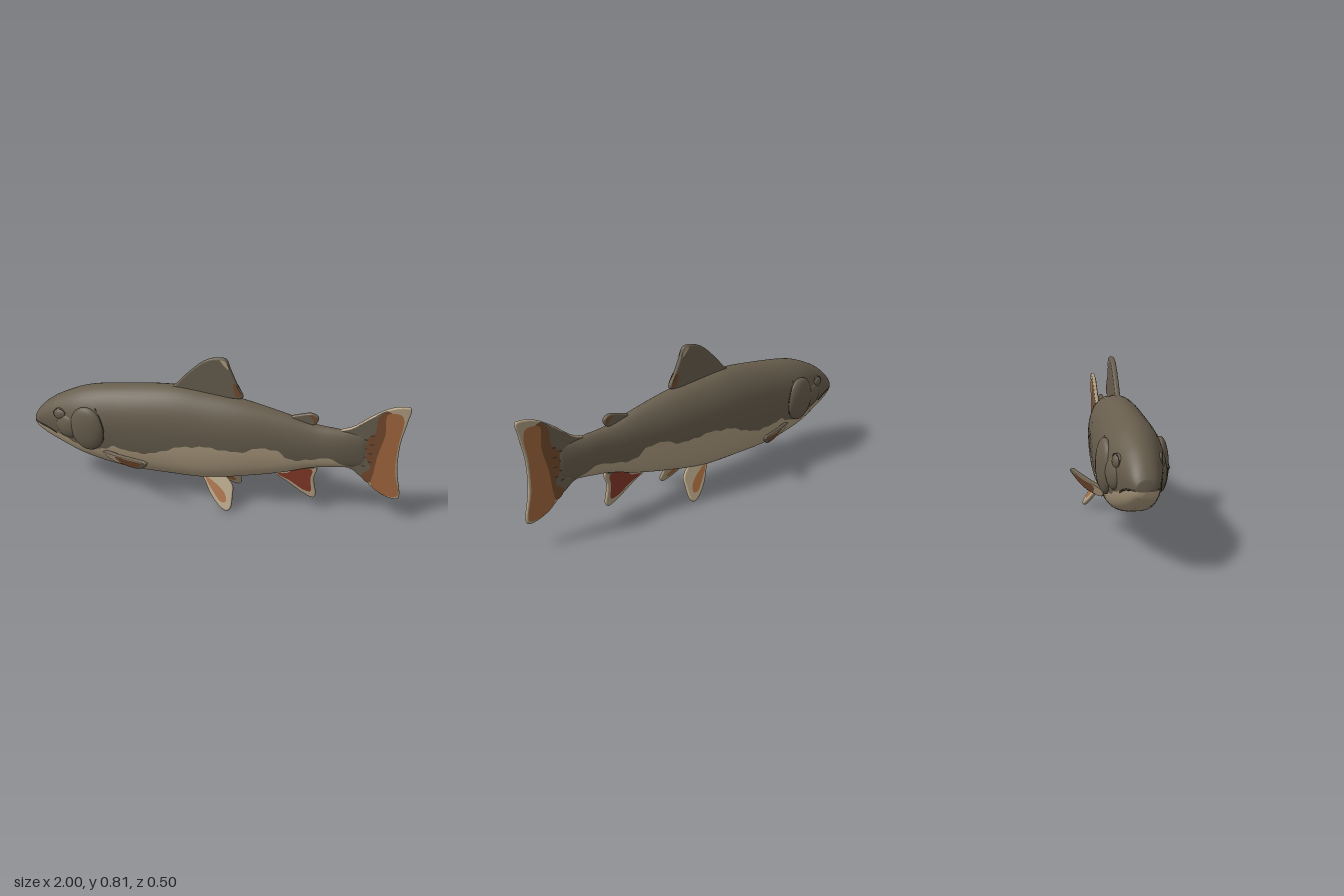
import * as THREE from 'three';

const mat = (name, color) => new THREE.MeshStandardMaterial({ name, color, side: THREE.DoubleSide });

// Body stations: x, top, bottom, half width
const STATIONS = [
  [-1, 0.385, 0.325, 0.035], [-0.975, 0.42, 0.305, 0.056], [-0.93, 0.463, 0.278, 0.073],
  [-0.85, 0.515, 0.242, 0.095], [-0.69, 0.58, 0.185, 0.132], [-0.47, 0.615, 0.142, 0.141],
  [-0.2, 0.638, 0.132, 0.138], [0, 0.62, 0.135, 0.128], [0.17, 0.597, 0.165, 0.112],
  [0.38, 0.55, 0.212, 0.08], [0.54, 0.508, 0.262, 0.056], [0.66, 0.496, 0.282, 0.045],
  [0.74, 0.49, 0.29, 0.03], [0.82, 0.47, 0.31, 0.008],
];
// Edge between dark back and pale belly: x, y
const BELLY_LINE = [
  [-1, 0.352], [-0.93, 0.345], [-0.87, 0.325], [-0.79, 0.3], [-0.69, 0.275], [-0.55, 0.28], [-0.5, 0.305],
  [-0.42, 0.285], [-0.29, 0.29], [-0.15, 0.345], [0, 0.365], [0.17, 0.35], [0.275, 0.38],
  [0.37, 0.37], [0.42, 0.325], [0.56, 0.33], [0.61, 0.35], [0.72, 0.3], [0.82, 0.315],
];

// Smooth interpolation of column c of a table at x
function sample(table, c, x) {
  const last = table.length - 1;
  let i = 0;
  while (i < last - 1 && table[i + 1][0] < x) i++;
  const slope = (k) => {
    const a = table[Math.max(k - 1, 0)], b = table[Math.min(k + 1, last)];
    return (b[c] - a[c]) / (b[0] - a[0]);
  };
  const p = table[i], q = table[i + 1], d = q[0] - p[0];
  const t = THREE.MathUtils.clamp((x - p[0]) / d, 0, 1), t2 = t * t, t3 = t2 * t;
  return (2 * t3 - 3 * t2 + 1) * p[c] + (t3 - 2 * t2 + t) * d * slope(i)
    + (3 * t2 - 2 * t3) * q[c] + (t3 - t2) * d * slope(i + 1);
}

function section(x) {
  const top = sample(STATIONS, 1, x), bottom = sample(STATIONS, 2, x);
  return { top, bottom, w: sample(STATIONS, 3, x), mid: bottom + 0.56 * (top - bottom) };
}

// Point of a cross-section at angle t: lean back, fuller belly
function ringPoint(s, t) {
  const sn = Math.sin(t), cs = Math.cos(t);
  const y = s.mid + sn * (sn > 0 ? s.top - s.mid : s.mid - s.bottom);
  return [y, s.w * Math.sign(cs) * Math.pow(Math.abs(cs), sn > 0 ? 1.05 : 0.6)];
}

const angleAt = (s, y) =>
  Math.asin(THREE.MathUtils.clamp((y - s.mid) / (y > s.mid ? s.top - s.mid : s.mid - s.bottom), -0.97, 0.97));

function surfacePoint(x, y, lift = 0) {
  const s = section(x);
  return new THREE.Vector3(x, y, ringPoint(s, angleAt(s, y))[1] + lift);
}

// Body skin: half of every ring follows the back, the other half the belly
function bodyGeometry() {
  const rows = 130, half = 26, n = half * 2, pos = [], back = [], belly = [];
  for (let i = 0; i <= rows; i++) {
    const x = -1 + 1.82 * Math.pow(i / rows, 1.25), s = section(x);
    const line = sample(BELLY_LINE, 1, x) + 0.006 * Math.sin(x * 70) * Math.sin(x * 23);
    const tb = angleAt(s, line), closed = i === 0 || i === rows;
    for (let k = 0; k < n; k++) {
      const t = k < half ? tb + (Math.PI - 2 * tb) * (k / half)
        : Math.PI - tb + (Math.PI + 2 * tb) * ((k - half) / half);
      const [y, z] = closed ? [line, 0] : ringPoint(s, t);
      pos.push(x, y, z);
      if (i === rows) continue;
      const a = i * n + k, b = i * n + (k + 1) % n;
      (k < half ? back : belly).push(a, a + n, b, b, a + n, b + n);
    }
  }
  const g = new THREE.BufferGeometry();
  g.setAttribute('position', new THREE.Float32BufferAttribute(pos, 3));
  // Order corners so the skin faces outward
  const flip = (list) => { for (let j = 0; j < list.length; j += 3) [list[j], list[j + 1]] = [list[j + 1], list[j]]; };
  const p = new THREE.Vector3(), q = new THREE.Vector3(), r = new THREE.Vector3();
  const mid = 60 * half * 6 + 12 * 6;
  [p, q, r].forEach((v, j) => v.fromArray(pos, back[mid + j] * 3));
  if (q.sub(p).cross(r.sub(p)).y < 0) { flip(back); flip(belly); }
  g.setIndex([...back, ...belly]);
  g.addGroup(0, back.length, 0);
  g.addGroup(back.length, belly.length, 1);
  g.computeVertexNormals();
  return g;
}

// Closed smooth outline through a few points
function outline(points) {
  const curve = new THREE.CatmullRomCurve3(points.map(([x, y]) => new THREE.Vector3(x, y, 0)), true, 'centripetal');
  return new THREE.Shape(curve.getPoints(points.length * 6).slice(0, -1).map((v) => new THREE.Vector2(v.x, v.y)));
}

// Fin plate with painted patches on its faces; each patch is [name, material, points]
function makeFin(name, material, points, thick, patches = [], faces = [1, -1]) {
  const group = new THREE.Group();
  group.name = name;
  const bevel = thick * 0.35;
  const g = new THREE.ExtrudeGeometry(outline(points), {
    depth: thick - 2 * bevel, bevelThickness: bevel, bevelSize: bevel, bevelOffset: -bevel, bevelSegments: 3,
  }).translate(0, 0, bevel - thick / 2);
  const plate = new THREE.Mesh(g, material);
  plate.name = name + 'Plate';
  group.add(plate);
  patches.forEach(([patchName, patchMat, pts], i) => faces.forEach((f) => {
    const patch = new THREE.Mesh(new THREE.ShapeGeometry(outline(pts)), patchMat);
    patch.name = patchName;
    patch.position.z = f * (thick / 2 + 0.001 + i * 0.0007);
    group.add(patch);
  }));
  return group;
}

export function createModel() {
  const dark = mat('olive back', 0x675d4d), pale = mat('cream belly', 0xae9c80);
  const orange = mat('orange fin', 0xa0673c), red = mat('red fin', 0x823826);
  const brown = mat('brown fin', 0x744a2e), shade = mat('dark crease', 0x423a30);
  const model = new THREE.Group();
  model.name = 'fish';
  const add = (parent, name, geometry, material) => {
    const mesh = new THREE.Mesh(geometry, material);
    mesh.name = name;
    parent.add(mesh);
    return mesh;
  };

  add(model, 'body', bodyGeometry(), [dark, pale]);

  // Fins on the centre line
  model.add(makeFin('dorsalFin', dark, [[-0.22, 0.62], [-0.18, 0.655], [-0.13, 0.71], [-0.03, 0.795], [0.04, 0.816],
    [0.08, 0.81], [0.1, 0.765], [0.14, 0.675], [0.17, 0.612], [0.1, 0.6], [0, 0.57]], 0.026, [
    ['dorsalTip', pale, [[0.05, 0.808], [0.075, 0.805], [0.097, 0.76], [0.085, 0.765]]],
    ['dorsalRearEdge', brown, [[0.12, 0.69], [0.135, 0.678], [0.162, 0.618], [0.135, 0.62]]]]));
  model.add(makeFin('adiposeFin', dark, [[0.41, 0.53], [0.47, 0.556], [0.53, 0.566], [0.558, 0.545], [0.545, 0.51], [0.46, 0.5]],
    0.024, [['adiposeEdge', brown, [[0.51, 0.558], [0.53, 0.56], [0.551, 0.543], [0.54, 0.515], [0.53, 0.54]]]]));
  model.add(makeFin('analFin', pale, [[0.3, 0.22], [0.4, 0.28], [0.54, 0.29], [0.57, 0.255], [0.557, 0.19], [0.572, 0.09],
    [0.56, 0.074], [0.51, 0.092], [0.42, 0.15], [0.35, 0.19]], 0.022, [
    ['analRoot', dark, [[0.41, 0.265], [0.54, 0.275], [0.556, 0.255], [0.5, 0.245], [0.43, 0.23]]],
    ['analRed', red, [[0.365, 0.197], [0.42, 0.21], [0.46, 0.248], [0.545, 0.245], [0.54, 0.19], [0.545, 0.115],
      [0.51, 0.118], [0.43, 0.165]]]]));
  model.add(makeFin('tailFin', pale, [[0.64, 0.47], [0.68, 0.497], [0.73, 0.518], [0.82, 0.59], [0.9, 0.64], [0.97, 0.656],
    [0.996, 0.65], [0.988, 0.58], [0.967, 0.45], [0.97, 0.3], [0.996, 0.15], [0.985, 0.134], [0.92, 0.145],
    [0.85, 0.19], [0.8, 0.24], [0.74, 0.278], [0.66, 0.3]], 0.021, [
    ['tailBase', dark, [[0.65, 0.47], [0.73, 0.512], [0.82, 0.583], [0.89, 0.628], [0.91, 0.6], [0.87, 0.5],
      [0.84, 0.4], [0.845, 0.31], [0.81, 0.24], [0.74, 0.285], [0.66, 0.32]]],
    ['tailBrownBand', brown, [[0.85, 0.59], [0.89, 0.627], [0.925, 0.6], [0.9, 0.4], [0.88, 0.25], [0.83, 0.215],
      [0.795, 0.255], [0.835, 0.3], [0.81, 0.36], [0.81, 0.47], [0.84, 0.5]]],
    ['tailOrange', orange, [[0.89, 0.61], [0.955, 0.615], [0.97, 0.58], [0.958, 0.45], [0.96, 0.3], [0.985, 0.155],
      [0.92, 0.153], [0.85, 0.202], [0.855, 0.28], [0.865, 0.38], [0.89, 0.5]]]]));
  // Dark flecks where the tail rays begin
  for (let i = 0; i < 8; i++) for (const f of [1, -1]) {
    const fleck = add(model, 'tailFleck', new THREE.CircleGeometry(0.009, 8), shade);
    fleck.position.set(0.8 + 0.03 * (i % 2), 0.31 + i * 0.025, f * 0.0135);
    fleck.scale.set(1.3, 0.55, 1);
  }

  // Paired parts, mirrored across the centre line
  for (const side of [1, -1]) {
    const half = new THREE.Group();
    half.name = side > 0 ? 'frontSide' : 'backSide';
    half.scale.z = side;
    model.add(half);

    const pelvic = makeFin('pelvicFin', pale, [[-0.045, 0.02], [0.02, 0.03], [0.08, 0.015], [0.14, -0.04], [0.145, -0.09],
      [0.143, -0.16], [0.125, -0.178], [0.09, -0.165], [0.03, -0.105], [-0.01, -0.04]], 0.02, [
      ['pelvicOrange', orange, [[-0.012, -0.012], [0.04, -0.035], [0.105, -0.09], [0.115, -0.13], [0.09, -0.135], [0.04, -0.085]]]]);
    pelvic.position.set(0, 0.16, 0.056);
    pelvic.rotation.x = -0.526;
    half.add(pelvic);

    const pectoral = makeFin('pectoralFin', dark, [[-0.03, 0.015], [0.1, 0.016], [0.22, 0.02], [0.28, 0.02], [0.292, 0.008],
      [0.25, -0.03], [0.18, -0.056], [0.1, -0.055], [0, -0.03]], 0.018, [
      ['pectoralRoot', pale, [[-0.02, 0.008], [0.05, 0.01], [0.26, 0.014], [0.12, -0.01], [0.07, -0.045], [0, -0.024]]],
      ['pectoralBrown', brown, [[0.06, 0.003], [0.16, 0.006], [0.25, 0.008], [0.22, -0.03], [0.15, -0.048], [0.09, -0.04]]]], [1]);
    const along = new THREE.Vector3(0.26, 0.035, 0.115).normalize();
    const out = along.clone().cross(new THREE.Vector3(0, 0.9, 0.42)).normalize();
    pectoral.quaternion.setFromRotationMatrix(new THREE.Matrix4().makeBasis(along, out.clone().cross(along), out));
    pectoral.position.set(-0.54, 0.247, 0.122);
    half.add(pectoral);

    // Gill cover, cheek and eye bulge out of the head
    const ball = new THREE.SphereGeometry(1, 28, 18);
    const bulge = (name, x, y, z, sx, sy, sz, turn) => {
      const m = add(half, name, ball, dark);
      m.position.set(x, y, z);
      m.scale.set(sx, sy, sz);
      m.rotation.set(0, turn, 0);
    };
    bulge('gillCover', -0.65, 0.385, 0.122, 0.1, 0.125, 0.038, -0.12);
    bulge('cheek', -0.77, 0.375, 0.098, 0.075, 0.07, 0.032, -0.2);
    bulge('eye', -0.815, 0.437, 0.088, 0.042, 0.034, 0.024, -0.2);

    // Thin creases: mouth, eye rim and gill edge
    const crease = (name, pts, lift, r) => add(half, name, new THREE.TubeGeometry(
      new THREE.CatmullRomCurve3(pts.map(([x, y]) => surfacePoint(x, y, lift))), 30, r, 6), shade);
    crease('mouthLine', [[-0.99, 0.353], [-0.95, 0.348], [-0.9, 0.336], [-0.85, 0.315]], 0, 0.004);
    crease('gillEdge', [[-0.6, 0.51], [-0.565, 0.45], [-0.55, 0.39], [-0.56, 0.33], [-0.6, 0.28]], -0.001, 0.003);
    const rim = add(half, 'eyeRim', new THREE.TorusGeometry(1, 0.05, 6, 32), shade);
    rim.position.set(-0.815, 0.437, 0.098);
    rim.scale.set(0.041, 0.033, 0.04);
    rim.rotation.y = -0.2;
  }
  return model;
}
